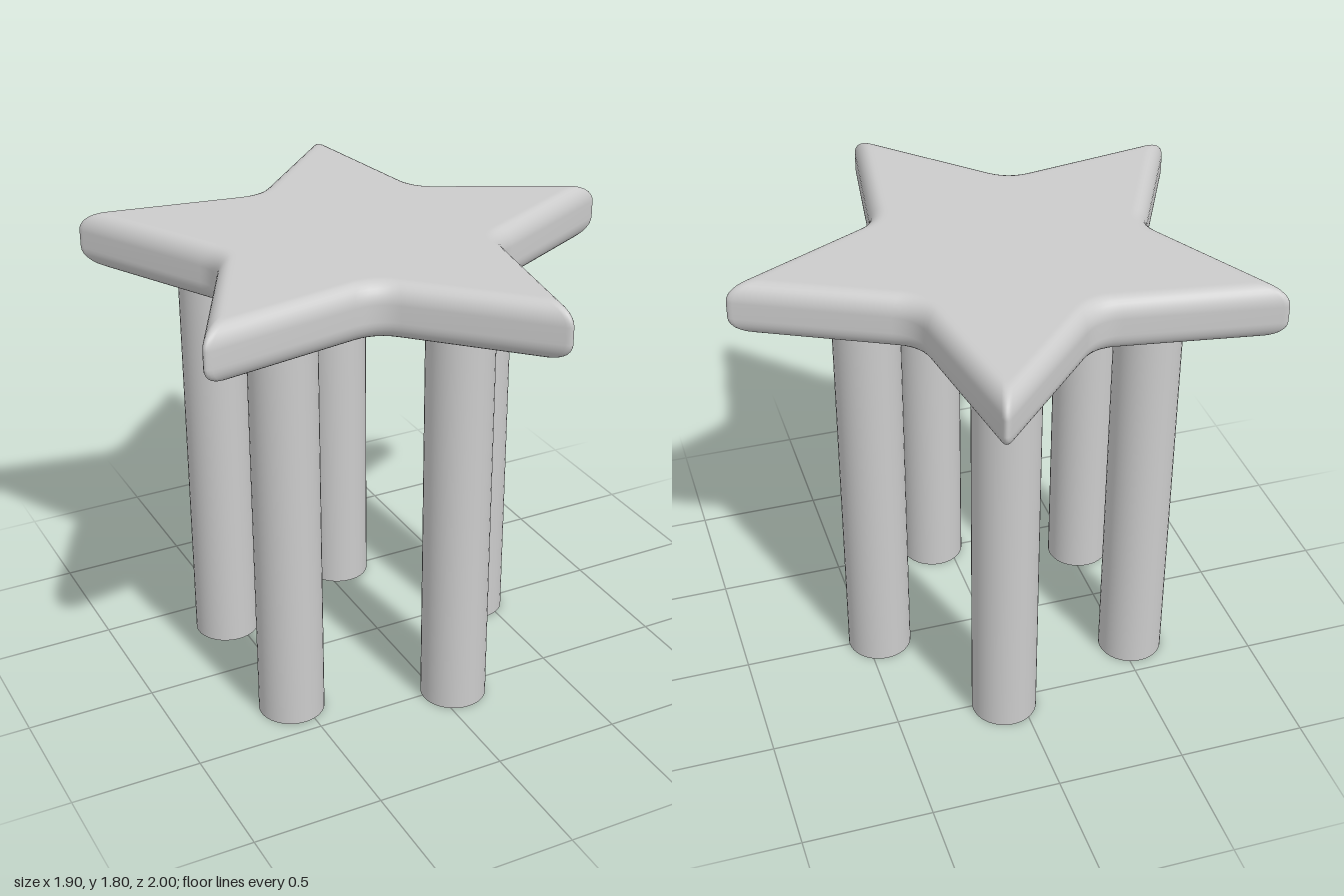
import * as THREE from 'three';

const CENTRE_X = -0.1;
const STEP = (Math.PI * 2) / 5;
const TOP = 1.8, BOTTOM = 1.585;

// Five-pointed outline pulled in by d, with softened tips and notches.
function starRing(d) {
  const corners = [];
  for (let i = 0; i < 10; i++) {
    const r = i % 2 ? 0.54 - d * 1.11 : 1.068 - d * 2.13;
    const a = (i * STEP) / 2;
    corners.push(new THREE.Vector2(Math.cos(a) * r, -Math.sin(a) * r));
  }
  const points = [];
  corners.forEach((p, i) => {
    const cut = i % 2 ? 0.09 : 0.04;
    const toward = (q) => p.clone().add(q.clone().sub(p).setLength(cut));
    const curve = new THREE.QuadraticBezierCurve(
      toward(corners[(i + 9) % 10]), p, toward(corners[(i + 1) % 10]));
    points.push(...curve.getPoints(6));
  });
  return points;
}

// Seat slab: star rings stacked along a rounded edge profile, closed by fans.
function seatGeometry() {
  const profile = [];
  const steps = 8, bevel = 0.06, rise = 0.075;
  for (let i = 0; i <= steps; i++) {
    const t = (i / steps) * Math.PI / 2;
    profile.push([bevel * (1 - Math.cos(t)), rise * (1 - Math.sin(t))]);
  }
  profile.push([bevel + 0.012, 0]);
  const levels = [
    ...profile.slice().reverse().map(([d, y]) => [d, BOTTOM + y]),
    ...profile.map(([d, y]) => [d, TOP - y]),
  ];

  const positions = [], index = [];
  let n = 0;
  for (const [d, y] of levels) {
    const ring = starRing(d);
    n = ring.length;
    for (const p of ring) positions.push(p.x, y, p.y);
  }
  const last = (levels.length - 1) * n;
  const low = levels.length * n, high = low + 1;
  positions.push(0, BOTTOM, 0, 0, TOP, 0);
  for (let j = 0; j < n; j++) {
    const k = (j + 1) % n;
    for (let i = 0; i < last; i += n) {
      index.push(i + j, i + k, i + n + k, i + j, i + n + k, i + n + j);
    }
    index.push(low, k, j, high, last + j, last + k);
  }
  const geometry = new THREE.BufferGeometry();
  geometry.setAttribute('position', new THREE.Float32BufferAttribute(positions, 3));
  geometry.setIndex(index);
  geometry.computeVertexNormals();
  return geometry;
}

export function createModel() {
  const group = new THREE.Group();
  group.name = 'starStool';
  const material = new THREE.MeshStandardMaterial({ color: 0xcccccc });

  const seat = new THREE.Mesh(seatGeometry(), material);
  seat.name = 'seat';
  seat.position.x = CENTRE_X;
  group.add(seat);

  // One round leg under each arm of the star
  const height = BOTTOM + 0.01;
  const legGeometry = new THREE.CylinderGeometry(0.128, 0.128, height, 40);
  for (let i = 0; i < 5; i++) {
    const leg = new THREE.Mesh(legGeometry, material);
    leg.name = `leg${i + 1}`;
    leg.position.set(
      CENTRE_X + Math.cos(i * STEP) * 0.545, height / 2, Math.sin(i * STEP) * 0.545);
    group.add(leg);
  }
  return group;
}
